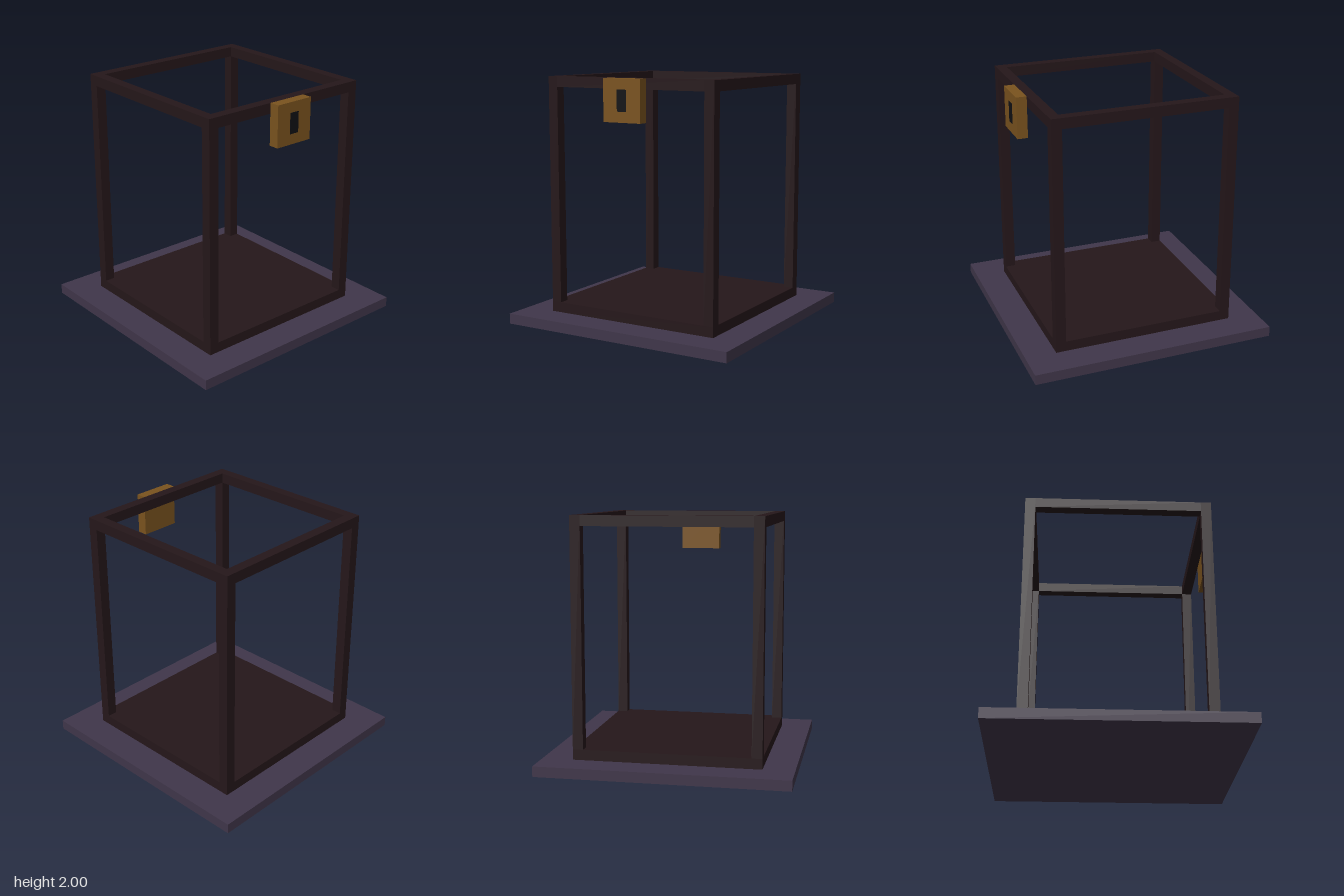
import * as THREE from 'three';

const U = 1 / 12; // module size: thickness of every bar and plate

export function createModel() {
  const model = new THREE.Group();
  const material = (color) => new THREE.MeshStandardMaterial({ color });
  const stone = material(0x40364a);
  const wood = material(0x25171a);
  const brass = material(0x7a531e);
  const black = material(0x101014);

  // Box given by its size and centre, in modules
  function box(name, mat, [w, h, d], [x, y, z]) {
    const mesh = new THREE.Mesh(new THREE.BoxGeometry(w * U, h * U, d * U), mat);
    mesh.position.set(x * U, y * U, z * U);
    mesh.name = name;
    model.add(mesh);
  }

  // Base plate and raised floor
  box('base', stone, [24, 1, 24], [0, 0.5, 0]);
  box('floor', wood, [18, 1, 18], [0, 1.5, 0]);

  // Open frame: corner posts, with top rails fitted between them
  for (const s of [-1, 1]) {
    for (const t of [-1, 1]) box('cornerPost', wood, [1, 22, 1], [s * 8.5, 13, t * 8.5]);
    box('sideTopRail', wood, [1, 1, 16], [s * 8.5, 23.5, 0]);
    box(s > 0 ? 'frontTopRail' : 'backTopRail', wood, [16, 1, 1], [0, 23.5, s * 8.5]);
  }

  // Lock hanging on the front rail
  box('lockPlate', brass, [4, 4, 1], [0, 22, 9.5]);
  box('keyhole', black, [1, 2, 0.1], [0, 22, 9.98]);

  return model;
}
